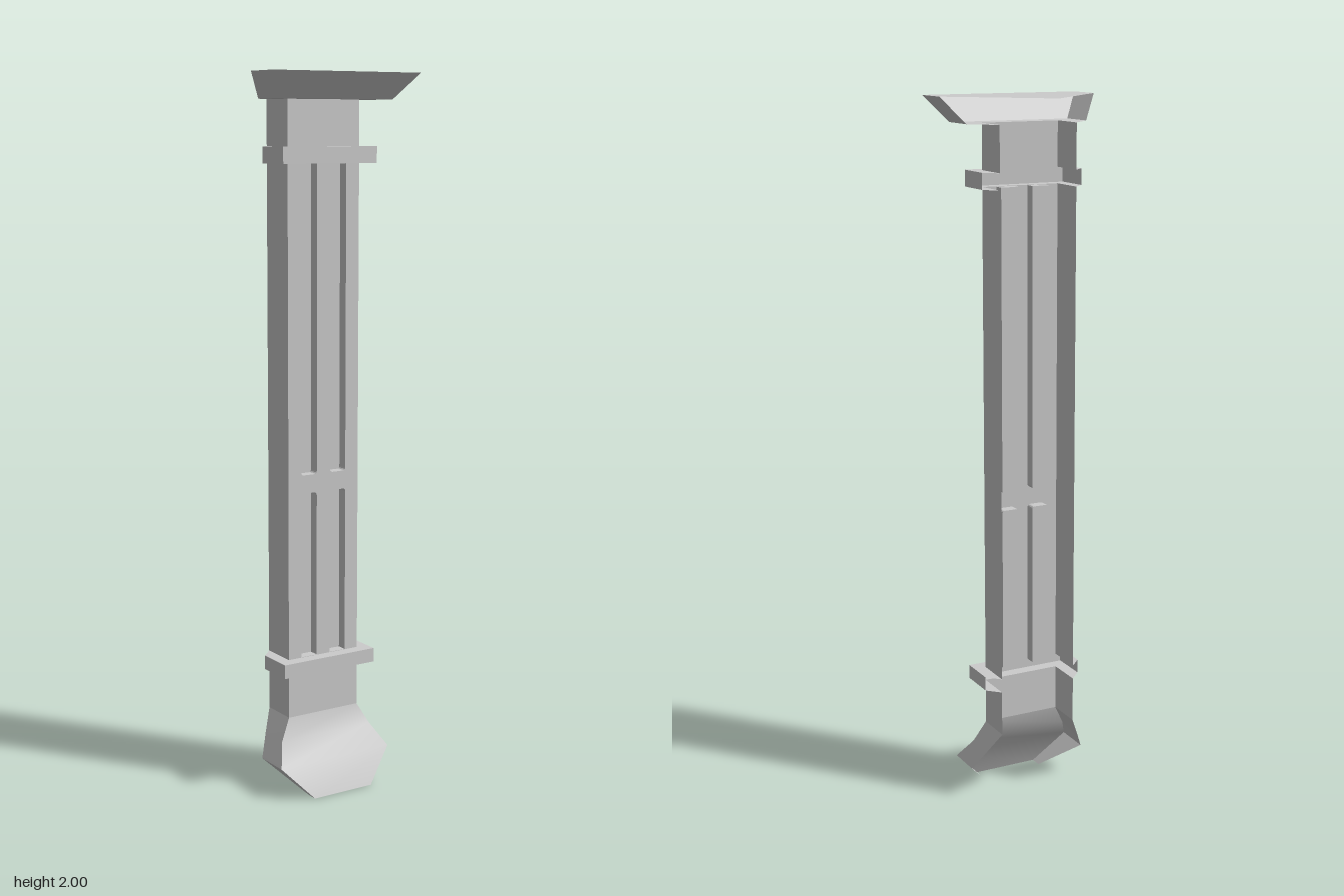
import * as THREE from 'three';
import { toCreasedNormals } from 'three/addons/utils/BufferGeometryUtils.js';

const stone = new THREE.MeshStandardMaterial({ color: 0xcccccc, side: THREE.DoubleSide });
stone.name = 'stone grey';

const MITRE = 0.172; // the sides are cut at 45 degrees towards an axis this far behind
const HALF = 0.115, FRONT = 0.05, LOW = 0.38, HIGH = 1.76;

// Flat-sided geometry from a list of four-cornered faces
function fromQuads(quads) {
  const pos = [];
  for (const [a, b, c, d] of quads) for (const p of [a, b, c, a, c, d]) pos.push(...p);
  const g = new THREE.BufferGeometry();
  g.setAttribute('position', new THREE.Float32BufferAttribute(pos, 3));
  g.computeVertexNormals();
  return g;
}

// Three-sided open shell; each row is [y, half width, front z, back z]
function shell(rows, faces = [0, 1, 2]) {
  const rings = rows.map(([y, h, f = h - 0.065, b = h - MITRE]) =>
    [[-h, y, b], [-h, y, f], [h, y, f], [h, y, b]]);
  const quads = [];
  for (let r = 0; r < rings.length - 1; r++)
    for (const i of faces)
      quads.push([rings[r][i], rings[r][i + 1], rings[r + 1][i + 1], rings[r + 1][i]]);
  return fromQuads(quads);
}

// Groove outline, counter-clockwise, with small rounded corners at one end
function grooveOutline(x0, x1, y0, y1, roundTop) {
  const r = 0.008, pts = [];
  const corner = (cx, cy, start) => {
    for (let i = 0; i <= 3; i++) {
      const a = start + (i / 3) * Math.PI / 2;
      pts.push(new THREE.Vector2(cx + r * Math.cos(a), cy + r * Math.sin(a)));
    }
  };
  if (roundTop) {
    pts.push(new THREE.Vector2(x0, y0), new THREE.Vector2(x1, y0));
    corner(x1 - r, y1 - r, 0);
    corner(x0 + r, y1 - r, Math.PI / 2);
  } else {
    corner(x0 + r, y0 + r, Math.PI);
    corner(x1 - r, y0 + r, Math.PI * 1.5);
    pts.push(new THREE.Vector2(x1, y1), new THREE.Vector2(x0, y1));
  }
  return pts;
}

export function createModel() {
  const model = new THREE.Group();
  const add = (name, geometry) => {
    const mesh = new THREE.Mesh(geometry, stone);
    mesh.name = name;
    model.add(mesh);
    return mesh;
  };

  // Flared foot, curling forward to a narrow toe
  add('foot', toCreasedNormals(shell([
    [0, 0.095, 0.155, 0.12], [0.09, 0.18, 0.115, 0.01],
    [0.15, 0.148, 0.066, -0.024], [0.21, HALF, FRONT],
  ]), 0.65));

  // Necks and ledged bands
  add('lowerNeck', shell([[0.21, HALF], [0.34, HALF]]));
  add('upperNeck', shell([[1.805, HALF], [1.93, HALF]]));
  for (const [name, y0, y1] of [['lowerBand', 0.34, LOW], ['upperBand', HIGH, 1.805]])
    add(name, shell([[y0, HALF], [y0, 0.15], [y1, 0.15], [y1, HALF]]));

  // Shaft sides
  add('shaftSides', shell([[LOW, HALF], [HIGH, HALF]], [0, 2]));

  // Shaft front with four sunken grooves
  const panel = new THREE.Shape([
    [-HALF, LOW], [HALF, LOW], [HALF, HIGH], [-HALF, HIGH],
  ].map(p => new THREE.Vector2(...p)));
  const back = FRONT - 0.03;
  for (const [x0, x1] of [[-0.073, -0.022], [0.022, 0.073]])
    for (const [y0, y1, roundTop] of [[LOW + 0.001, 0.853, true], [0.905, HIGH - 0.001, false]]) {
      const pts = grooveOutline(x0, x1, y0, y1, roundTop);
      panel.holes.push(new THREE.Path(pts));
      add('grooveWalls', fromQuads(pts.map((a, i) => {
        const b = pts[(i + 1) % pts.length];
        return [[a.x, a.y, FRONT], [b.x, b.y, FRONT], [b.x, b.y, back], [a.x, a.y, back]];
      })));
      add('grooveFloor', new THREE.ShapeGeometry(new THREE.Shape(pts))).position.z = back;
    }
  add('shaftFront', new THREE.ShapeGeometry(panel)).position.z = FRONT;

  // Sloping cap with its ledge underneath
  add('cap', shell([[1.93, HALF], [1.93, 0.18], [2, 0.233, 0.172, 0.061]]));

  // Pointed top plate
  const top = new THREE.Shape([
    [-0.233, -0.172], [0.233, -0.172], [0.233, -0.061], [0, 0.172], [-0.233, -0.061],
  ].map(p => new THREE.Vector2(...p)));
  add('topPlate', new THREE.ShapeGeometry(top).rotateX(-Math.PI / 2)).position.y = 2;

  return model;
}
